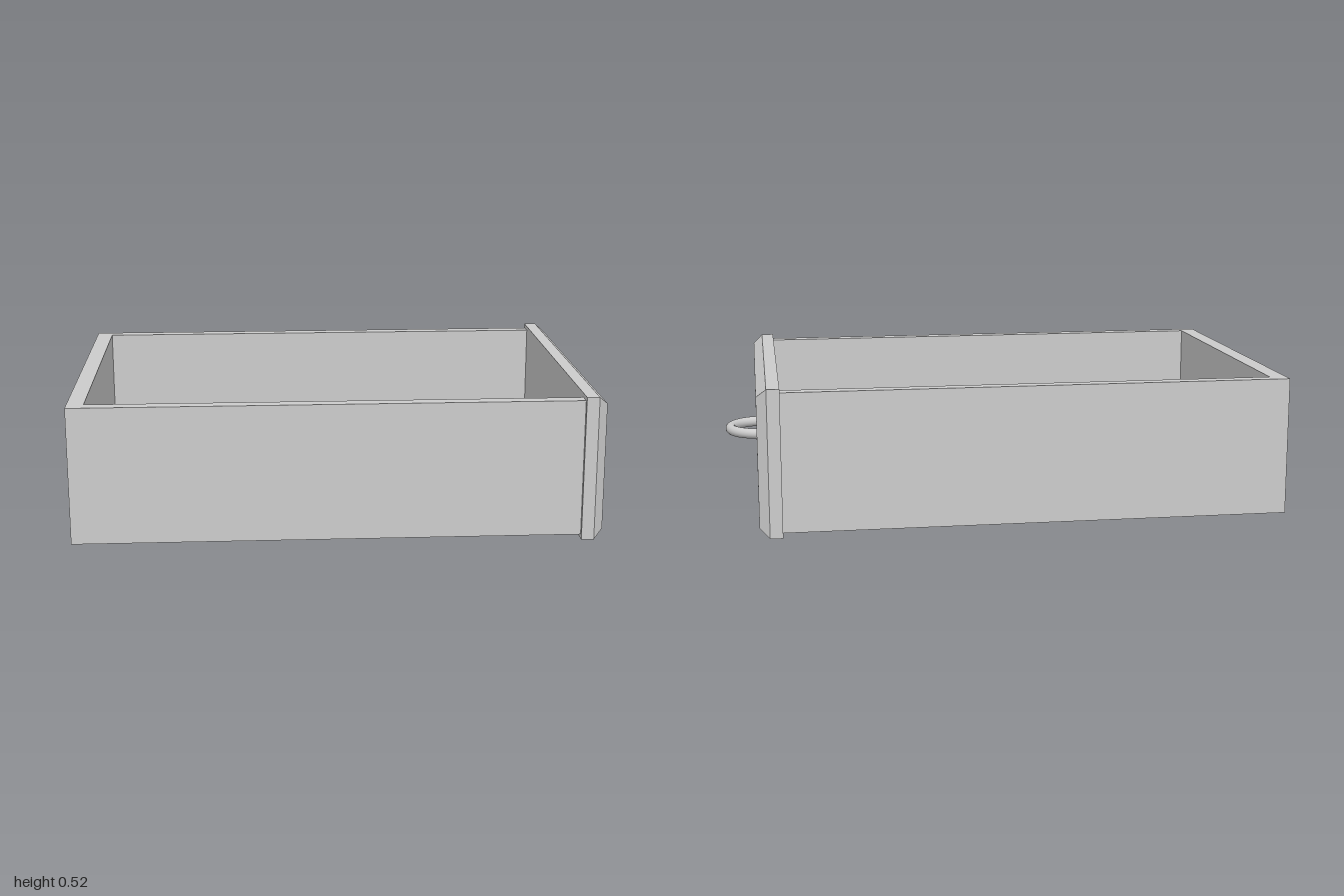
import * as THREE from 'three';

const material = new THREE.MeshStandardMaterial({ color: 0xcccccc });
const flatMaterial = new THREE.MeshStandardMaterial({ color: 0xcccccc, flatShading: true });

// Tray and front panel dimensions
const BACK = -1, JOIN = 0.805, FRONT = 0.885;
const HALF_WIDTH = 0.622, WALL = 0.048, BACK_WALL = 0.06;
const BOTTOM = 0.015, FLOOR_TOP = 0.063, TOP = 0.508;
const PANEL_HEIGHT = 0.523, PANEL_WIDTH = 1.274;
const BEVEL_START = 0.85, BEVEL = 0.031;

function addMesh(group, name, geometry, mat) {
  const mesh = new THREE.Mesh(geometry, mat);
  mesh.name = name;
  group.add(mesh);
  return mesh;
}

// U-shaped outline, open towards the front panel, raised to wall height
function wallsGeometry() {
  const inner = HALF_WIDTH - WALL;
  const outline = new THREE.Shape([
    [BACK, -HALF_WIDTH], [JOIN, -HALF_WIDTH], [JOIN, -inner], [BACK + BACK_WALL, -inner],
    [BACK + BACK_WALL, inner], [JOIN, inner], [JOIN, HALF_WIDTH], [BACK, HALF_WIDTH],
  ].map(([x, y]) => new THREE.Vector2(x, y)));
  const geometry = new THREE.ExtrudeGeometry(outline, { depth: TOP - FLOOR_TOP, bevelEnabled: false });
  return geometry.rotateX(-Math.PI / 2).translate(0, FLOOR_TOP, 0);
}

// Slab whose outward face is inset to form a bevelled border
function panelGeometry() {
  const geometry = new THREE.BoxGeometry(2, PANEL_HEIGHT, PANEL_WIDTH, 2, 1, 1);
  const pos = geometry.attributes.position;
  const levels = [JOIN, BEVEL_START, FRONT];
  for (let i = 0; i < pos.count; i++) {
    const level = Math.round(pos.getX(i)) + 1;
    const inset = level === 2 ? BEVEL : 0;
    const y = pos.getY(i), z = pos.getZ(i);
    pos.setXYZ(i, levels[level], y - Math.sign(y) * inset, z - Math.sign(z) * inset);
  }
  geometry.translate(0, PANEL_HEIGHT / 2, 0);
  geometry.computeVertexNormals();
  return geometry;
}

export function createModel() {
  const drawer = new THREE.Group();
  drawer.name = 'drawer';

  // Tray
  const floor = new THREE.BoxGeometry(JOIN - BACK, FLOOR_TOP - BOTTOM, HALF_WIDTH * 2);
  floor.translate((JOIN + BACK) / 2, (FLOOR_TOP + BOTTOM) / 2, 0);
  addMesh(drawer, 'trayFloor', floor, material);
  addMesh(drawer, 'trayWalls', wallsGeometry(), material);

  // Bevelled front panel
  addMesh(drawer, 'frontPanel', panelGeometry(), flatMaterial);

  // Half-ring pull handle with its ends set into the panel
  const tube = 0.019, radius = 0.119;
  const ring = new THREE.TorusGeometry(radius, tube, 20, 40, Math.PI);
  ring.rotateX(Math.PI / 2).rotateY(Math.PI / 2);
  addMesh(drawer, 'handle', ring, material).position.set(1 - radius - tube, PANEL_HEIGHT / 2, 0);

  return drawer;
}
